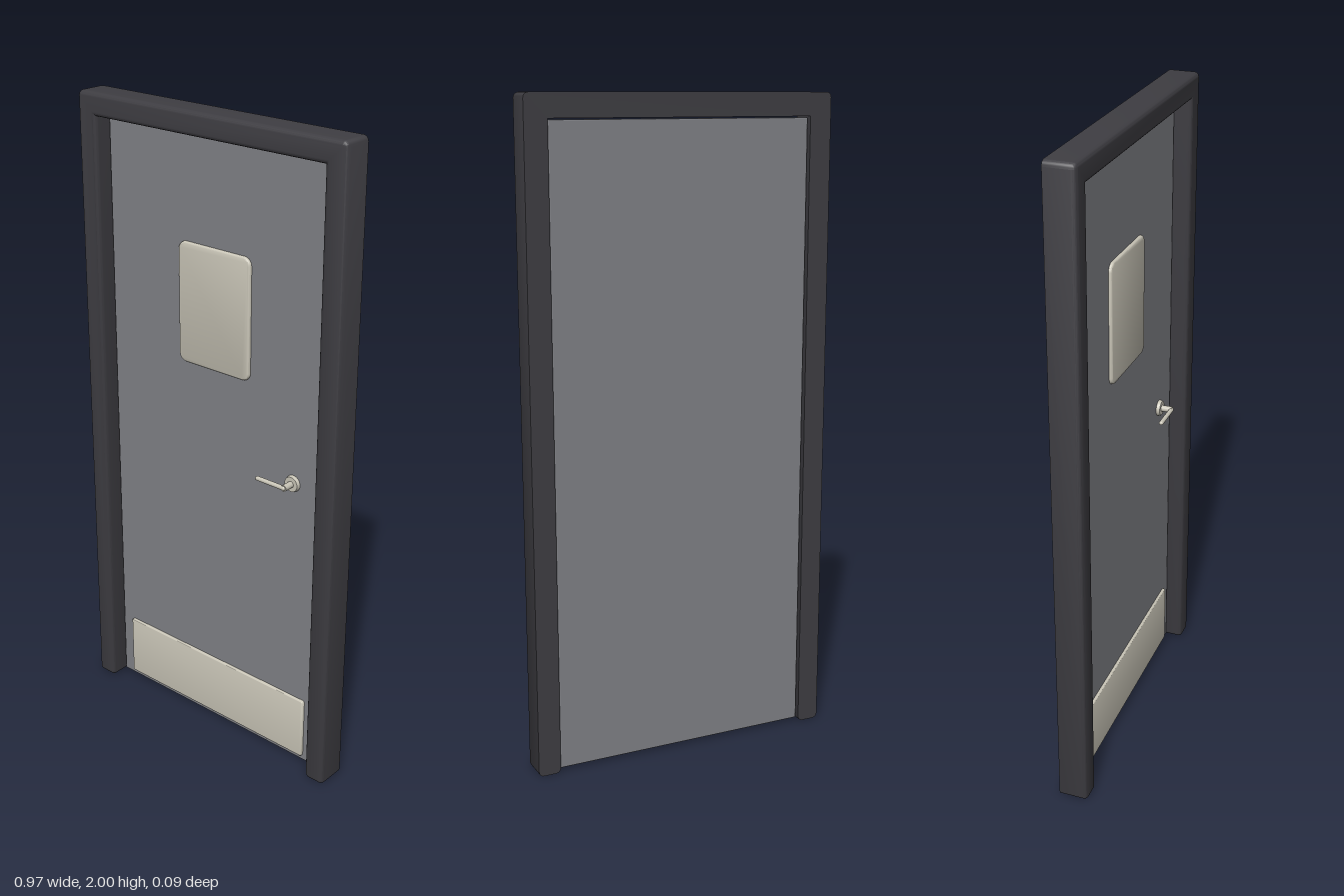
import * as THREE from 'three';
import { toCreasedNormals } from 'three/addons/utils/BufferGeometryUtils.js';
import { RoundedBoxGeometry } from 'three/addons/geometries/RoundedBoxGeometry.js';

const frameGrey = new THREE.MeshStandardMaterial({ name: 'frameGrey', color: 0x3e3d42 });
const doorGrey = new THREE.MeshStandardMaterial({ name: 'doorGrey', color: 0x808186 });
const paleMetal = new THREE.MeshStandardMaterial({ name: 'paleMetal', color: 0xc9c5b7 });

// Right-angled outline inset by t, with convex corners rounded to radius R
function outline(points, R, t) {
  const out = [];
  points.forEach((v, i) => {
    const prev = points[(i + points.length - 1) % points.length];
    const next = points[(i + 1) % points.length];
    const d0 = v.clone().sub(prev).normalize();
    const d1 = next.clone().sub(v).normalize();
    const n0 = new THREE.Vector2(-d0.y, d0.x);
    const n1 = new THREE.Vector2(-d1.y, d1.x);
    const sum = n0.clone().add(n1);
    if (d0.cross(d1) < 0) {
      out.push(v.clone().addScaledVector(sum, t));
      return;
    }
    for (let k = 0; k <= 5; k++) {
      const a = (k / 5) * Math.PI / 2;
      out.push(v.clone().addScaledVector(sum, R)
        .addScaledVector(n0, -(R - t) * Math.cos(a))
        .addScaledVector(n1, -(R - t) * Math.sin(a)));
    }
  });
  return out;
}

// Solid with a flat back and a rounded front edge
function roundedFront(points, R, bevel, back, front) {
  const rings = [{ z: back, p: outline(points, R, 0) }];
  for (let k = 0; k <= 5; k++) {
    const a = (k / 5) * Math.PI / 2;
    rings.push({ z: front - bevel * (1 - Math.sin(a)), p: outline(points, R, bevel * (1 - Math.cos(a))) });
  }
  const pos = [];
  const put = (ring, i) => pos.push(ring.p[i].x, ring.p[i].y, ring.z);
  const n = rings[0].p.length;
  for (let r = 0; r < rings.length - 1; r++) {
    const a = rings[r], b = rings[r + 1];
    for (let i = 0; i < n; i++) {
      const j = (i + 1) % n;
      put(a, i); put(a, j); put(b, j);
      put(a, i); put(b, j); put(b, i);
    }
  }
  // Flat caps
  const last = rings[rings.length - 1];
  for (const [i, j, k] of THREE.ShapeUtils.triangulateShape(last.p, [])) {
    put(last, i); put(last, j); put(last, k);
    put(rings[0], k); put(rings[0], j); put(rings[0], i);
  }
  const geo = new THREE.BufferGeometry();
  geo.setAttribute('position', new THREE.Float32BufferAttribute(pos, 3));
  return toCreasedNormals(geo, 0.6);
}

const corners = (list) => list.map(([x, y]) => new THREE.Vector2(x, y));
const rect = (x, y0, y1) => corners([[-x, y0], [x, y0], [x, y1], [-x, y1]]);

export function createModel() {
  const group = new THREE.Group();
  group.name = 'door';
  const add = (name, geo, mat, x = 0, y = 0, z = 0, parent = group) => {
    const mesh = new THREE.Mesh(geo, mat);
    mesh.name = name;
    mesh.position.set(x, y, z);
    parent.add(mesh);
    return mesh;
  };

  // Two jambs and the head in one piece
  const frame = corners([[-0.485, 0], [-0.415, 0], [-0.415, 1.93], [0.415, 1.93],
    [0.415, 0], [0.485, 0], [0.485, 2], [-0.485, 2]]);
  add('frame', roundedFront(frame, 0.016, 0.014, -0.045, 0.045), frameGrey);

  // Door leaf, set back from the front of the frame
  add('doorLeaf', new RoundedBoxGeometry(0.822, 1.916, 0.027, 2, 0.003), doorGrey, 0, 0.968, -0.0225);

  // Raised plates
  add('windowPanel', roundedFront(rect(0.135, 1.238, 1.61), 0.025, 0.007, -0.012, 0.001), paleMetal);
  add('kickPlate', roundedFront(rect(0.367, 0.025, 0.232), 0.008, 0.007, -0.012, 0.001), paleMetal);

  // Lever handle
  const handle = new THREE.Group();
  handle.name = 'handle';
  handle.position.set(0.3, 0.965, 0);
  group.add(handle);
  add('handleRose', new THREE.CylinderGeometry(0.023, 0.026, 0.012, 32), paleMetal, 0, 0, -0.004, handle).rotation.x = Math.PI / 2;
  add('handleSpindle', new THREE.CylinderGeometry(0.01, 0.01, 0.036, 20), paleMetal, 0, 0, 0.018, handle).rotation.x = Math.PI / 2;
  add('handleLever', new THREE.CapsuleGeometry(0.007, 0.098, 6, 16), paleMetal, -0.049, 0, 0.034, handle).rotation.z = Math.PI / 2;

  return group;
}
